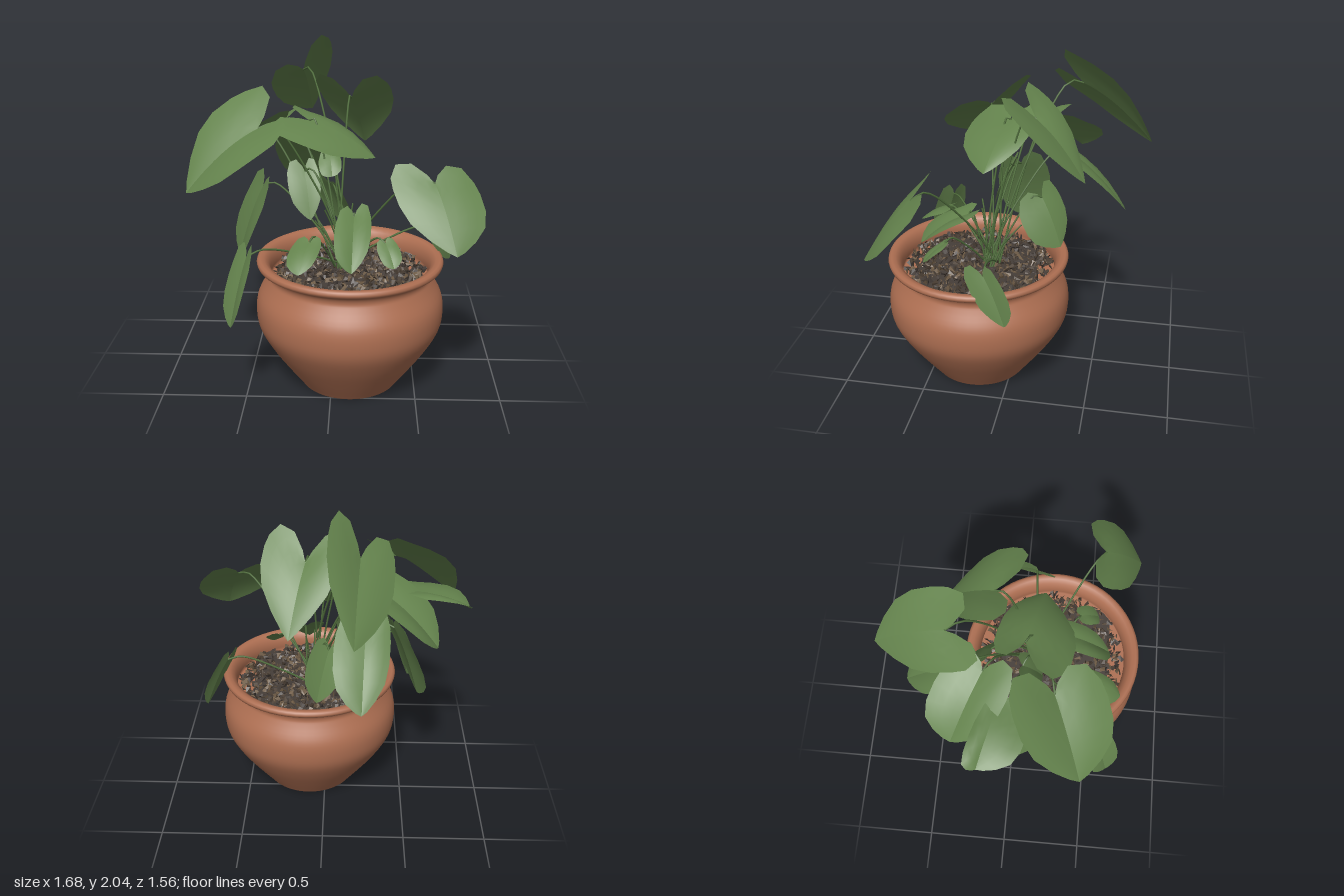
import * as THREE from 'three';

const V = (a) => new THREE.Vector3(...a);
const mat = (name, color, side = THREE.FrontSide) => {
  const m = new THREE.MeshStandardMaterial({ color, side });
  m.name = name;
  return m;
};

// Small seeded generator for the loose chips
function seeded(seed) {
  return () => ((seed = (seed * 16807) % 2147483647) - 1) / 2147483646;
}

// Half outline of a broad, blunt heart-shaped blade: [side, along midrib]
const HEART = [
  [0, 0], [0.12, -0.12], [0.4, -0.27], [0.76, -0.25], [0.96, -0.05], [1, 0.15],
  [0.98, 0.42], [0.84, 0.65], [0.52, 0.83], [0.2, 0.95], [0, 1],
];

// Blade spanned by its base, tip and the widest point of either side
function leafGeometry(base, tip, sideA, sideB) {
  const axis = tip.clone().sub(base);
  const len = axis.length();
  const pos = [], idx = [], cols = 4, rows = HEART.length;
  [sideA, sideB].forEach((side, h) => {
    const across = side.clone().sub(base).addScaledVector(axis, -0.15);
    const start = pos.length / 3;
    HEART.forEach(([s, v], i) => {
      const mid = i / (rows - 1);
      for (let c = 0; c <= cols; c++) {
        const k = c / cols;
        const along = THREE.MathUtils.lerp(mid, v, k);
        const p = base.clone().addScaledVector(axis, along).addScaledVector(across, s * k);
        // arch along the midrib and a soft swell over each half
        p.y += len * (0.3 * Math.max(0, along) * (1 - along) + 0.1 * s * k * (1 - k));
        pos.push(p.x, p.y, p.z);
      }
    });
    for (let i = 0; i < rows - 1; i++) {
      for (let c = 0; c < cols; c++) {
        const a = start + i * (cols + 1) + c, b = a + cols + 1;
        if (h) idx.push(a, b, a + 1, b, b + 1, a + 1);
        else idx.push(a, a + 1, b, b, a + 1, b + 1);
      }
    }
  });
  const g = new THREE.BufferGeometry();
  g.setAttribute('position', new THREE.Float32BufferAttribute(pos, 3));
  // Turn the blade so that its upper face is the front
  const up = sideA.clone().sub(base).cross(axis);
  if (up.y < 0) idx.reverse();
  g.setIndex(idx);
  g.computeVertexNormals();
  return g;
}

// Each leaf: base, tip, one side, other side
const LEAVES = {
  topBackLeaf: [[-0.2, 1.81, -0.36], [-0.17, 1.48, -0.78], [-0.39, 1.68, -0.31], [-0.03, 1.95, -0.43]],
  backLeaf: [[0.105, 1.68, -0.13], [0.19, 1.34, -0.43], [-0.1, 1.72, -0.17], [0.34, 1.73, -0.05]],
  backLeftLeaf: [[-0.31, 1.53, -0.16], [-0.65, 1.25, -0.32], [-0.38, 1.47, -0.42], [-0.48, 1.51, -0.02]],
  lowBackLeaf: [[-0.24, 1.36, -0.28], [-0.22, 1.0, -0.65], [-0.38, 1.27, -0.34], [-0.06, 1.27, -0.42]],
  farLeftLeaf: [[-0.47, 1.48, -0.06], [-0.83, 1.42, -0.15], [-0.63, 1.44, 0.11], [-0.66, 1.47, -0.2]],
  frontLeftLeaf: [[-0.42, 1.57, 0.24], [-0.81, 1.24, 0.42], [-0.6, 1.68, 0.03], [-0.38, 1.47, 0.53]],
  centreLeaf: [[-0.14, 1.58, 0.06], [0.25, 1.38, 0.15], [-0.08, 1.56, -0.1], [-0.22, 1.5, 0.32]],
  frontRightLeaf: [[0.57, 1.33, 0.49], [0.68, 1.0, 0.74], [0.34, 1.29, 0.53], [0.82, 1.25, 0.47]],
  frontLeaf: [[0.13, 1.06, 0.27], [0.12, 0.83, 0.58], [0.02, 1.0, 0.42], [0.23, 1.01, 0.33]],
  smallFrontLeaf: [[-0.12, 0.97, 0.47], [-0.17, 0.85, 0.66], [-0.23, 0.92, 0.5], [-0.06, 0.93, 0.52]],
  droopingLeaf: [[-0.47, 0.9, 0.52], [-0.56, 0.51, 0.62], [-0.58, 0.76, 0.48], [-0.46, 0.78, 0.65]],
  lowLeftLeaf: [[-0.42, 1.18, 0.05], [-0.58, 0.73, 0.03], [-0.56, 1.03, -0.12], [-0.44, 0.99, 0.2]],
  rightLeaf: [[0.61, 0.92, 0.08], [0.73, 0.68, -0.06], [0.61, 0.83, 0.17], [0.69, 0.88, -0.05]],
  lowRearLeaf: [[-0.03, 1.13, -0.15], [0.04, 0.84, -0.28], [0.1, 0.99, -0.05], [-0.13, 1.09, -0.25]],
  smallRightLeaf: [[0.31, 0.94, 0.38], [0.36, 0.83, 0.5], [0.27, 0.89, 0.45], [0.39, 0.91, 0.4]],
  innerLeaf: [[-0.02, 1.4, 0.08], [0.0, 1.28, 0.2], [-0.08, 1.33, 0.16], [0.05, 1.35, 0.12]],
  innerLeftLeaf: [[-0.17, 1.27, 0.05], [-0.13, 1.0, 0.17], [-0.27, 1.21, 0.1], [-0.08, 1.23, 0.08]],
};

export function createModel() {
  const model = new THREE.Group();
  model.name = 'pottedPlant';
  const clay = mat('terracotta', 0xae6f52);
  const green = mat('leafGreen', 0x64834d, THREE.DoubleSide);
  const stemGreen = mat('stemGreen', 0x52703e);
  const earth = mat('soilBrown', 0x453d38, THREE.DoubleSide);
  const bark = mat('barkBrown', 0x6f5c46, THREE.DoubleSide);
  const darkBark = mat('darkBark', 0x4c4035, THREE.DoubleSide);
  const add = (name, geometry, material, parent = model) => {
    const m = new THREE.Mesh(geometry, material);
    m.name = name;
    parent.add(m);
    return m;
  };
  const cx = 0.106, cz = 0.22;

  // Pot: outer belly, rolled rim, inner wall and floor
  const toPoints = (list) => list.map((p) => new THREE.Vector2(...p));
  const belly = new THREE.SplineCurve(toPoints([
    [0.3, 0.008], [0.39, 0.13], [0.48, 0.26], [0.545, 0.38], [0.561, 0.48],
    [0.548, 0.57], [0.5, 0.66], [0.483, 0.7], [0.495, 0.735], [0.53, 0.757],
  ])).getPoints(36);
  const rim = toPoints([[0.549, 0.765], [0.554, 0.78], [0.549, 0.795], [0.535, 0.802], [0.51, 0.798],
    [0.485, 0.78], [0.47, 0.74], [0.468, 0.7], [0.475, 0.66], [0, 0.66]]);
  const foot = toPoints([[0, 0.015], [0.26, 0.015], [0.28, 0], [0.295, 0]]);
  add('pot', new THREE.LatheGeometry([...foot, ...belly, ...rim], 64), clay).position.set(cx, 0, cz);

  // Soil bed: a square with its corners cut off by the pot wall
  const corners = [];
  for (let q = 0; q < 4; q++) {
    for (let i = 0; i <= 4; i++) {
      const a = q * Math.PI / 2 + THREE.MathUtils.lerp(0.68, 0.89, i / 4);
      corners.push(new THREE.Vector2(0.468 * Math.cos(a), 0.468 * Math.sin(a)));
    }
  }
  const soil = add('soil', new THREE.ShapeGeometry(new THREE.Shape(corners)), earth);
  soil.rotation.x = -Math.PI / 2;
  soil.position.set(cx - 0.01, 0.7, cz);

  // Bark chips lying and standing at all angles
  const rand = seeded(41);
  const chips = new THREE.Group();
  chips.name = 'barkChips';
  model.add(chips);
  const chipShape = new THREE.TetrahedronGeometry(0.028);
  const chipColours = [bark, darkBark, earth];
  for (let i = 0; i < 1000; i++) {
    const r = 0.45 * Math.sqrt(rand()), a = rand() * Math.PI * 2;
    const chip = add('chip', chipShape, chipColours[Math.floor(rand() * 3)], chips);
    chip.position.set(cx + r * Math.cos(a), 0.695 + rand() * 0.02, cz + r * Math.sin(a));
    chip.rotation.set(rand() * 3, rand() * 6, rand() * 3);
    chip.scale.set(1.3, 0.25, 0.75);
  }

  // Leaves, each on a stem that rises from the middle and bends outward
  Object.entries(LEAVES).forEach(([name, points], i) => {
    const [base, tip, a, b] = points.map(V);
    const leaf = new THREE.Group();
    leaf.name = name;
    model.add(leaf);
    add('blade', leafGeometry(base, tip, a, b), green, leaf);
    const root = new THREE.Vector3(0.07 + 0.05 * Math.cos(i * 2.4), 0.69, 0.15 + 0.05 * Math.sin(i * 2.4));
    const rise = base.y - root.y;
    const bend = root.clone().lerp(base, 0.4).setY(root.y + rise * 0.6);
    const neck = root.clone().lerp(base, 0.85).setY(base.y + 0.02);
    const path = new THREE.CatmullRomCurve3([root, bend, neck, base]);
    add('stem', new THREE.TubeGeometry(path, 20, 0.006, 6), stemGreen, leaf);
  });

  // Young bare shoots among the stems
  for (let i = 0; i < 7; i++) {
    const a = i * 2.4, h = 0.2 + 0.25 * rand();
    const path = new THREE.QuadraticBezierCurve3(
      new THREE.Vector3(0.07 + 0.03 * Math.cos(a), 0.69, 0.15 + 0.03 * Math.sin(a)),
      new THREE.Vector3(0.04 + 0.05 * Math.cos(a), 0.7 + h * 0.6, 0.13 + 0.05 * Math.sin(a)),
      new THREE.Vector3(-0.01 + 0.13 * Math.cos(a), 0.7 + h, 0.1 + 0.13 * Math.sin(a)));
    add('shoot', new THREE.TubeGeometry(path, 10, 0.005, 5), stemGreen);
  }
  return model;
}
